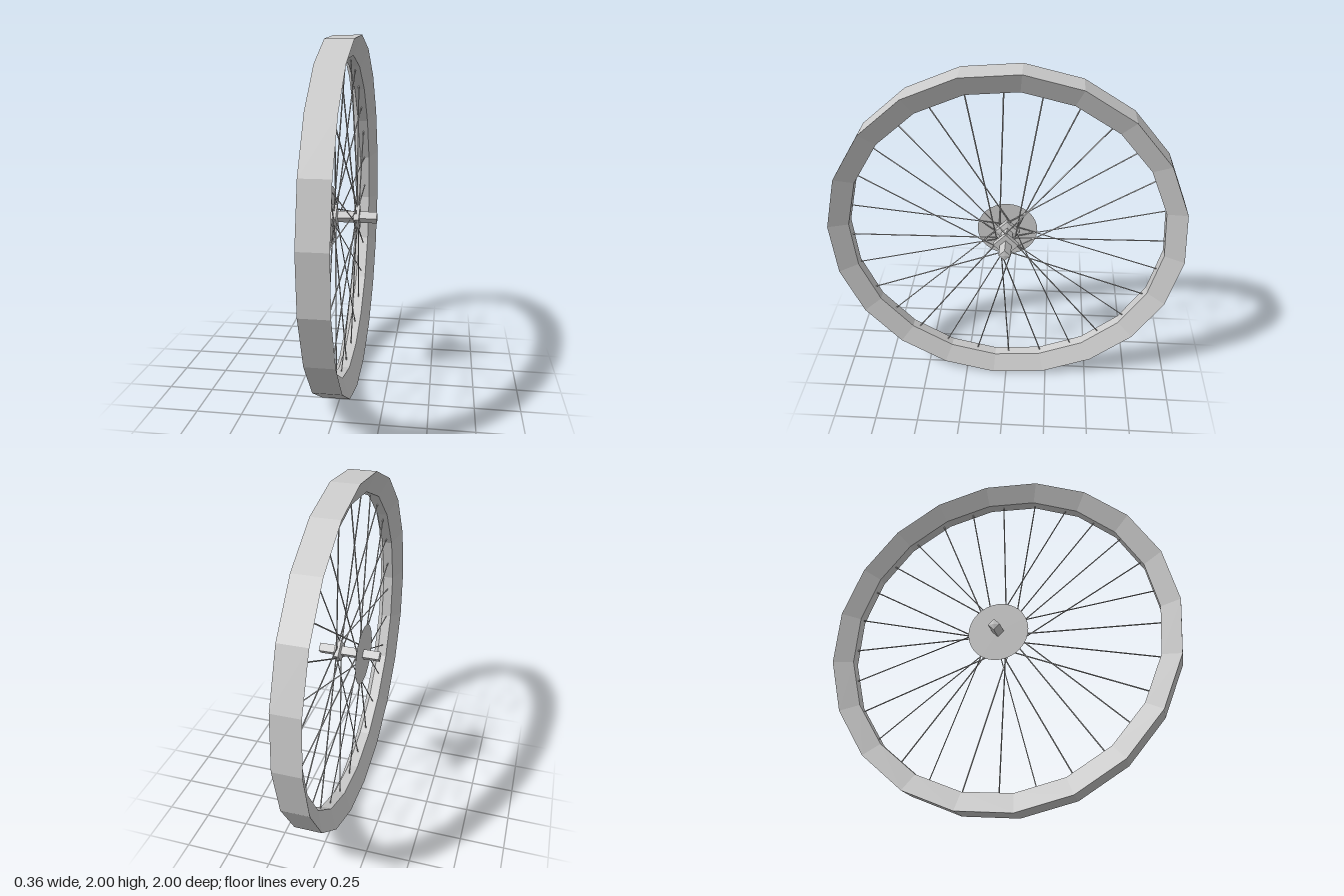
import * as THREE from 'three';

const metal = new THREE.MeshStandardMaterial({ color: 0xcccccc, flatShading: true, side: THREE.DoubleSide });
const DEG = Math.PI / 180;

// Revolves a profile of [radius, position] points around the x axis
function turned(name, profile, sides, startDeg) {
  const points = profile.map(([r, a]) => new THREE.Vector2(r, a));
  const geometry = new THREE.LatheGeometry(points, sides, startDeg * DEG);
  geometry.rotateZ(Math.PI / 2);
  const mesh = new THREE.Mesh(geometry, metal);
  mesh.name = name;
  return mesh;
}

// Point on a circle about the axle, angle measured from +z towards +y
function polar(x, radius, deg) {
  return new THREE.Vector3(x, radius * Math.sin(deg * DEG), radius * Math.cos(deg * DEG));
}

// Thin straight rod between two points
function rod(name, from, to, radius) {
  const along = to.clone().sub(from);
  const mesh = new THREE.Mesh(new THREE.CylinderGeometry(radius, radius, along.length(), 4), metal);
  mesh.name = name;
  mesh.position.copy(from).add(to).multiplyScalar(0.5);
  mesh.quaternion.setFromUnitVectors(new THREE.Vector3(0, 1, 0), along.normalize());
  return mesh;
}

export function createModel() {
  const wheel = new THREE.Group();
  wheel.name = 'wheel';

  // Twenty-sided rim, its section narrowing towards the hub
  const outer = 1.003, inner = 0.894, wide = 0.077, narrow = 0.03;
  wheel.add(turned('rim', [
    [inner, -narrow], [outer, -wide], [outer, wide], [inner, narrow], [inner, -narrow],
  ], 20, 4.5));

  // Square hub: axle stubs with low pointed ends, two flanges and a narrow core
  wheel.add(turned('hub', [
    [0, -0.18], [0.033, -0.176], [0.033, -0.08], [0.07, -0.08], [0.07, -0.05], [0.033, -0.045],
    [0.033, 0.045], [0.07, 0.05], [0.07, 0.08], [0.033, 0.08], [0.033, 0.176], [0, 0.18],
  ], 4, 0));

  // Thin brake disc on one side
  const disc = new THREE.Mesh(new THREE.CircleGeometry(0.172, 32), metal);
  disc.name = 'brakeDisc';
  disc.rotation.y = -Math.PI / 2;
  disc.position.x = -0.082;
  wheel.add(disc);

  // Crossed spokes, alternating between flanges and leaning both ways in pairs
  const spokes = new THREE.Group();
  spokes.name = 'spokes';
  const count = 28;
  for (let i = 0; i < count; i++) {
    const angle = 179.1 + (i * 360) / count;
    const side = i % 2 ? -1 : 1;
    const lean = i % 4 < 2 ? -45 : 45;
    spokes.add(rod('spoke', polar(side * 0.063, 0.06, angle + lean), polar(0, 0.888, angle), 0.0038));
  }
  wheel.add(spokes);

  wheel.position.y = 1;
  const model = new THREE.Group();
  model.name = 'spokedWheel';
  model.add(wheel);
  return model;
}
